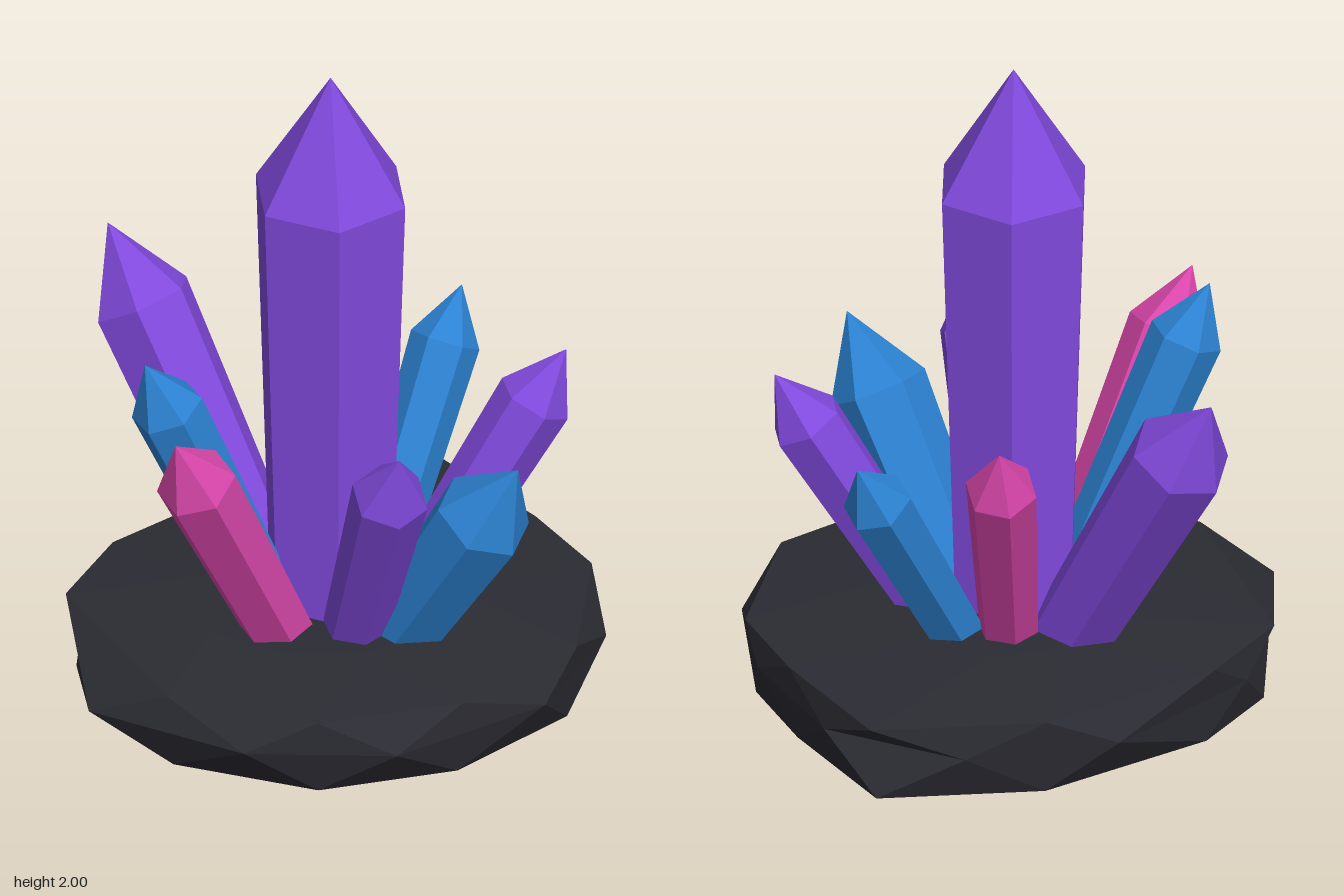
import * as THREE from 'three';

const makeMaterial = (name, color) => {
  const m = new THREE.MeshStandardMaterial({ color });
  m.name = name;
  return m;
};

// Split faces so every facet gets its own flat normal
function faceted(geometry) {
  const g = geometry.index ? geometry.toNonIndexed() : geometry;
  g.computeVertexNormals();
  return g;
}

// Six-sided shard, widening from the base to the shoulder and ending in a point
function crystalGeometry(length, radius, start) {
  const shoulder = length - radius * 1.63;
  const profile = [[0, start], [radius * 0.8, start], [radius, shoulder], [0, length]];
  return faceted(new THREE.LatheGeometry(profile.map(([x, y]) => new THREE.Vector2(x, y)), 6));
}

// Faceted slab made of staggered rings, closed by a fan at each end
function rockGeometry() {
  const rim = [[0, -0.66], [0.47, -0.64], [0.64, -0.27], [0.72, 0], [0.57, 0.4],
    [0.2, 0.6], [-0.2, 0.6], [-0.55, 0.36], [-0.67, -0.22], [-0.48, -0.44]];
  const belt = [[0.22, -0.67], [0.57, -0.45], [0.7, -0.1], [0.7, 0.22], [0.45, 0.52],
    [0, 0.67], [-0.39, 0.55], [-0.73, 0.23], [-0.58, -0.34], [-0.2, -0.63]];
  const n = rim.length;
  const ring = (outline, scale, y) => outline.map(([x, z]) => [x * scale, y, z * scale]);
  const rings = [
    ring(belt, 0.52, 0.035), ring(rim, 0.96, 0.15), ring(belt, 1, 0.28),
    ring(rim, 1, 0.373), ring(belt, 0.5, 0.4),
  ];
  const positions = [];
  const tri = (a, b, c) => positions.push(...a, ...b, ...c);
  for (let i = 0; i < n; i++) {
    const j = (i + 1) % n;
    for (let k = 0; k < rings.length - 1; k++) {
      const lo = rings[k], up = rings[k + 1];
      if (k % 2) {
        tri(lo[i], up[i], lo[j]);
        tri(up[i], up[j], lo[j]);
      } else {
        tri(lo[i], up[i], up[j]);
        tri(lo[i], up[j], lo[j]);
      }
    }
    const top = rings[rings.length - 1];
    tri([0, 0, 0], rings[0][i], rings[0][j]);
    tri(top[i], [0, 0.408, 0], top[j]);
  }
  const g = new THREE.BufferGeometry();
  g.setAttribute('position', new THREE.Float32BufferAttribute(positions, 3));
  return faceted(g);
}

export function createModel() {
  const group = new THREE.Group();
  group.name = 'crystalCluster';
  const purple = makeMaterial('purple crystal', 0x8049dc);
  const blue = makeMaterial('blue crystal', 0x2c82d2);
  const pink = makeMaterial('pink crystal', 0xd846aa);
  const stone = makeMaterial('dark stone', 0x2b2b33);

  const rock = new THREE.Mesh(rockGeometry(), stone);
  rock.name = 'rockBase';
  group.add(rock);

  // Every shard radiates from the origin: name, material, tip, radius, roll
  const shards = [
    ['mainCrystal', purple, [0, 2, 0], 0.217, -0.158],
    ['frontCrystal', purple, [0.045, 1.11, 0.53], 0.105, 0],
    ['frontLeftCrystal', blue, [0.38, 1.01, 0.5], 0.135, 0.5],
    ['leftCrystal', purple, [0.635, 1.085, 0.055], 0.103, 0],
    ['backLeftCrystal', blue, [0.475, 1.04, -0.41], 0.095, 0.2],
    ['backCrystal', pink, [0.11, 1.125, -0.53], 0.098, 0.1],
    ['backRightCrystal', purple, [-0.45, 1.27, -0.6], 0.14, -0.3],
    ['rightCrystal', blue, [-0.54, 1.25, 0.1], 0.1, 0.2],
    ['frontRightCrystal', pink, [-0.53, 1.155, 0.37], 0.11, 0.2],
  ];
  const up = new THREE.Vector3(0, 1, 0);
  for (const [name, material, tip, radius, roll] of shards) {
    const axis = new THREE.Vector3(...tip);
    const length = axis.length();
    const mesh = new THREE.Mesh(crystalGeometry(length, radius, 0.3), material);
    mesh.name = name;
    mesh.quaternion.setFromUnitVectors(up, axis.normalize());
    mesh.rotateY(roll);
    group.add(mesh);
  }
  return group;
}
